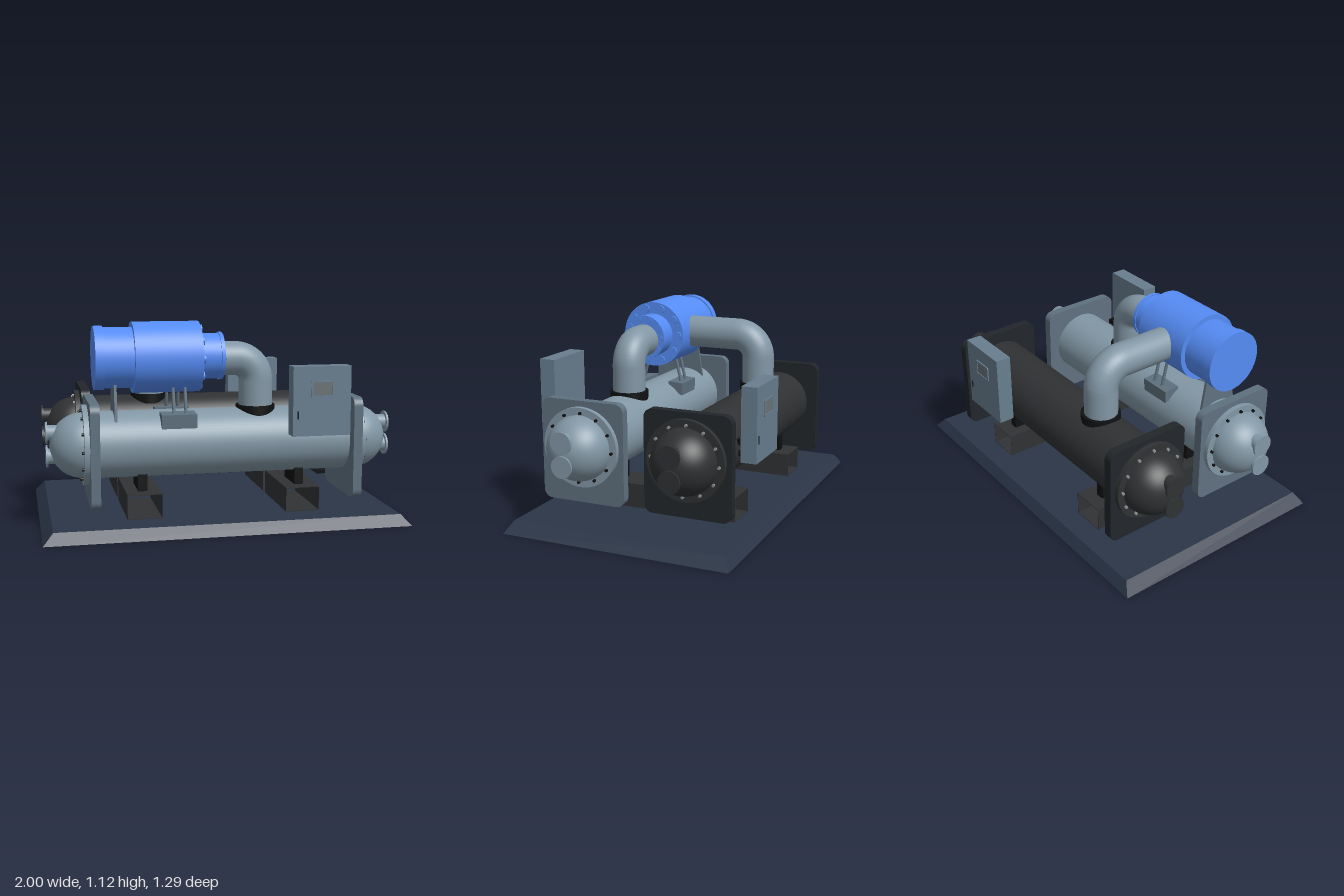
import * as THREE from 'three';

const mat = (color, side = THREE.FrontSide) => new THREE.MeshStandardMaterial({ color, side });
const M = {
  base: mat(0x2b3648), steel: mat(0x8297a5), plate: mat(0x5f717f), dark: mat(0x2f3133),
  darkPlate: mat(0x22262a), blue: mat(0x558cf5), black: mat(0x101112), cabinet: mat(0x687e8f),
  beam: mat(0x303234, THREE.DoubleSide), screen: mat(0x6b7376), bolt: mat(0x8b9093),
};

function add(parent, name, geometry, material, x = 0, y = 0, z = 0) {
  const mesh = new THREE.Mesh(geometry, material);
  mesh.name = name;
  mesh.position.set(x, y, z);
  parent.add(mesh);
  return mesh;
}
const box = (p, name, m, [x0, x1], [y0, y1], [z0, z1]) =>
  add(p, name, new THREE.BoxGeometry(x1 - x0, y1 - y0, z1 - z0), m, (x0 + x1) / 2, (y0 + y1) / 2, (z0 + z1) / 2);

// Cylinder lying along x
const rodX = (p, name, m, r, x0, x1, y, z, seg = 48) =>
  add(p, name, new THREE.CylinderGeometry(r, r, x1 - x0, seg).rotateZ(-Math.PI / 2), m, (x0 + x1) / 2, y, z);

// Ring of bolts on a face looking along x
function boltRing(p, name, m, count, ring, r, x0, x1, y, z, start) {
  for (let i = 0; i < count; i++) {
    const a = start + (i / count) * Math.PI * 2;
    rodX(p, name, m, r, x0, x1, y + ring * Math.sin(a), z + ring * Math.cos(a), 14);
  }
}

// Round bar between two points
function strut(p, name, m, a, b, r) {
  const path = new THREE.LineCurve3(new THREE.Vector3(...a), new THREE.Vector3(...b));
  add(p, name, new THREE.TubeGeometry(path, 1, r, 10), m);
}

// Rounded rectangle in the shape plane
function roundedRect(w, h, r) {
  const s = new THREE.Shape();
  s.absarc(w / 2 - r, h / 2 - r, r, 0, Math.PI / 2);
  s.absarc(-w / 2 + r, h / 2 - r, r, Math.PI / 2, Math.PI);
  s.absarc(-w / 2 + r, -h / 2 + r, r, Math.PI, Math.PI * 1.5);
  s.absarc(w / 2 - r, -h / 2 + r, r, Math.PI * 1.5, Math.PI * 2);
  return s;
}

// Pipe with one round elbow: start, corner, end
function elbowPipe(p, name, start, corner, end, bend, r) {
  const [s, c, e] = [start, corner, end].map(v => new THREE.Vector3(...v));
  const u = s.clone().sub(c).normalize(), v = e.clone().sub(c).normalize();
  const pts = [s];
  for (let i = 0; i <= 16; i++) {
    const a = (i / 16) * Math.PI / 2;
    pts.push(c.clone().addScaledVector(u, bend * (1 - Math.sin(a))).addScaledVector(v, bend * (1 - Math.cos(a))));
  }
  pts.push(e);
  const path = new THREE.CurvePath();
  for (let i = 1; i < pts.length; i++) path.add(new THREE.LineCurve3(pts[i - 1], pts[i]));
  add(p, name, new THREE.TubeGeometry(path, 100, r, 36), M.steel);
}

// Horizontal vessel with end plates, domed heads, nozzles and feet
function vessel(name, z, body, plate, boltMat, beamZ) {
  const g = new THREE.Group(), y = 0.455;
  g.name = name;
  rodX(g, 'shell', body, 0.182, -0.72, 0.72, y, z, 64);
  for (const side of [1, -1]) {
    const end = new THREE.Group();
    end.name = side > 0 ? 'leftHead' : 'rightHead';
    end.rotation.y = side > 0 ? 0 : Math.PI;
    end.position.z = z;
    const slab = new THREE.ExtrudeGeometry(roundedRect(0.488, 0.56, 0.048), { depth: 0.05, bevelEnabled: false, curveSegments: 10 });
    add(end, 'endPlate', slab.rotateY(Math.PI / 2), plate, 0.69, 0.424, 0);
    rodX(end, 'headFlange', body, 0.218, 0.74, 0.768, y, 0);
    const dome = new THREE.SphereGeometry(0.178, 48, 16, 0, Math.PI * 2, 0, Math.PI / 2).rotateZ(-Math.PI / 2);
    add(end, 'dome', dome, body, 0.764, y, 0);
    boltRing(end, 'flangeBolt', boltMat, 12, 0.19, 0.008, 0.765, 0.78, y, 0, 0.05);
    for (const ny of [0.4, 0.528]) {
      rodX(end, 'nozzle', body, 0.042, 0.86, 0.955, ny, 0, 32);
      rodX(end, 'nozzleFlange', body, 0.06, 0.951, 0.962, ny, 0, 32);
    }
    g.add(end);
  }
  // Hollow support beams and cradles
  for (const x of [-0.45, 0.425]) {
    const frame = new THREE.Shape([[-0.095, 0], [0.095, 0], [0.095, 0.135], [-0.095, 0.135]].map(q => new THREE.Vector2(...q)));
    frame.holes.push(new THREE.Path([[-0.092, 0.003], [-0.092, 0.132], [0.092, 0.132], [0.092, 0.003]].map(q => new THREE.Vector2(...q))));
    const depth = beamZ[1] - beamZ[0];
    add(g, 'supportBeam', new THREE.ExtrudeGeometry(frame, { depth, bevelEnabled: false }), M.beam, x, 0.072, beamZ[0]);
    const cradle = new THREE.Shape();
    cradle.moveTo(-0.1, 0.205);
    cradle.lineTo(0.1, 0.205);
    cradle.lineTo(0.1, 0.3);
    cradle.absarc(0, y, 0.184, -0.997, -Math.PI + 0.997, true);
    cradle.lineTo(-0.1, 0.205);
    const cg = new THREE.ExtrudeGeometry(cradle, { depth: 0.05, bevelEnabled: false }).rotateY(Math.PI / 2);
    add(g, 'cradle', cg, M.black, x - 0.027, 0, z);
  }
  return g;
}

// Control cabinet; built facing +z with its back at z = 0
function cabinet(name, x, y0, h, z, turn, reach) {
  const g = new THREE.Group();
  g.name = name;
  box(g, 'cabinetBody', M.cabinet, [-0.16, 0.16], [0, h], [0, 0.088]);
  const rim = roundedRect(0.125, 0.09, 0.006);
  rim.holes.push(roundedRect(0.105, 0.07, 0.004));
  add(g, 'screenFrame', new THREE.ExtrudeGeometry(rim, { depth: 0.008, bevelEnabled: false }), M.cabinet, 0, h * 0.68, 0.087);
  box(g, 'screen', M.screen, [-0.053, 0.053], [h * 0.68 - 0.036, h * 0.68 + 0.036], [0.086, 0.091]);
  box(g, 'doorHandle', M.black, [-0.135, -0.129], [h * 0.25, h * 0.36], [0.086, 0.092]);
  for (const ax of [-0.085, 0.06])
    for (const ay of [0.03, 0.09]) box(g, 'mountingArm', M.black, [ax - 0.018, ax + 0.018], [ay - 0.015, ay + 0.015], [-reach, 0.002]);
  g.position.set(x, y0, z);
  g.rotation.y = turn;
  return g;
}

function compressor() {
  const g = new THREE.Group(), y = 0.925, z = 0.297;
  g.name = 'compressor';
  const profile = [[0, 0], [0.172, 0], [0.172, 0.05], [0.164, 0.05], [0.164, 0.206], [0.192, 0.206], [0.192, 0.57],
    [0.124, 0.57], [0.124, 0.68], [0.13, 0.68], [0.13, 0.7], [0, 0.7]];
  // Each step is its own band so the edges stay sharp
  for (let i = 1; i < profile.length; i++) {
    const band = new THREE.LatheGeometry([profile[i - 1], profile[i]].map(q => new THREE.Vector2(...q)), 64).rotateZ(-Math.PI / 2);
    add(g, 'casing', band, M.blue, -0.7, y, z);
  }
  boltRing(g, 'casingBolt', M.blue, 10, 0.159, 0.024, -0.135, -0.118, y, z, Math.PI * 0.4);
  boltRing(g, 'outletBolt', M.blue, 10, 0.108, 0.016, -0.004, 0.004, y, z, Math.PI * 0.4);
  // Rear stand
  const stand = new THREE.Shape([[-0.125, 0.56], [0.125, 0.56], [0.09, 0.79], [-0.09, 0.79]].map(q => new THREE.Vector2(...q)));
  add(g, 'rearStand', new THREE.ExtrudeGeometry(stand, { depth: 0.015, bevelEnabled: false }).rotateY(Math.PI / 2), M.plate, -0.6, 0, z);
  // Side brackets with struts
  for (const s of [1, -1]) {
    const wedge = new THREE.Shape([[0.08, 0.6], [0.168, 0.555], [0.172, 0.63], [0.08, 0.637]].map(q => new THREE.Vector2(q[0] * s, q[1])));
    // The shape's x axis becomes -z after the turn
    add(g, 'sideBracket', new THREE.ExtrudeGeometry(wedge, { depth: 0.19, bevelEnabled: false }).rotateY(Math.PI / 2), M.plate, -0.355, 0, z);
    for (const x of [-0.285, -0.22]) strut(g, 'bracketStrut', M.plate, [x, 0.62, z + s * 0.14], [x, 0.79, z + s * 0.1], 0.009);
  }
  return g;
}

export function createModel() {
  const model = new THREE.Group();
  model.name = 'waterChiller';

  // Base slab with sloping sides
  const slab = new THREE.BoxGeometry(2, 0.062, 1.29);
  const p = slab.attributes.position;
  for (let i = 0; i < p.count; i++)
    if (p.getY(i) > 0) p.setXYZ(i, p.getX(i) * 0.945, p.getY(i), p.getZ(i) * 0.945);
  slab.computeVertexNormals();
  add(model, 'base', slab, M.base, 0, 0.031, 0);

  model.add(vessel('frontVessel', 0.297, M.steel, M.plate, M.black, [0.018, 0.475]));
  model.add(vessel('rearVessel', -0.311, M.dark, M.darkPlate, M.bolt, [-0.49, -0.034]));
  model.add(compressor());

  // Connecting pipes and their collars
  elbowPipe(model, 'dischargePipe', [-0.01, 0.91, 0.297], [0.195, 0.91, 0.297], [0.195, 0.6, 0.297], 0.12, 0.093);
  elbowPipe(model, 'suctionPipe', [-0.32, 0.928, 0.2], [-0.32, 0.928, -0.3], [-0.32, 0.6, -0.3], 0.13, 0.093);
  for (const [x, z] of [[0.195, 0.297], [-0.32, -0.302]])
    add(model, 'pipeCollar', new THREE.CylinderGeometry(0.109, 0.109, 0.055, 40), M.black, x, 0.624, z);

  model.add(cabinet('frontCabinet', 0.485, 0.515, 0.373, 0.516, 0, 0.09));
  model.add(cabinet('rearCabinet', 0.385, 0.414, 0.404, -0.526, Math.PI, 0.06));
  return model;
}
